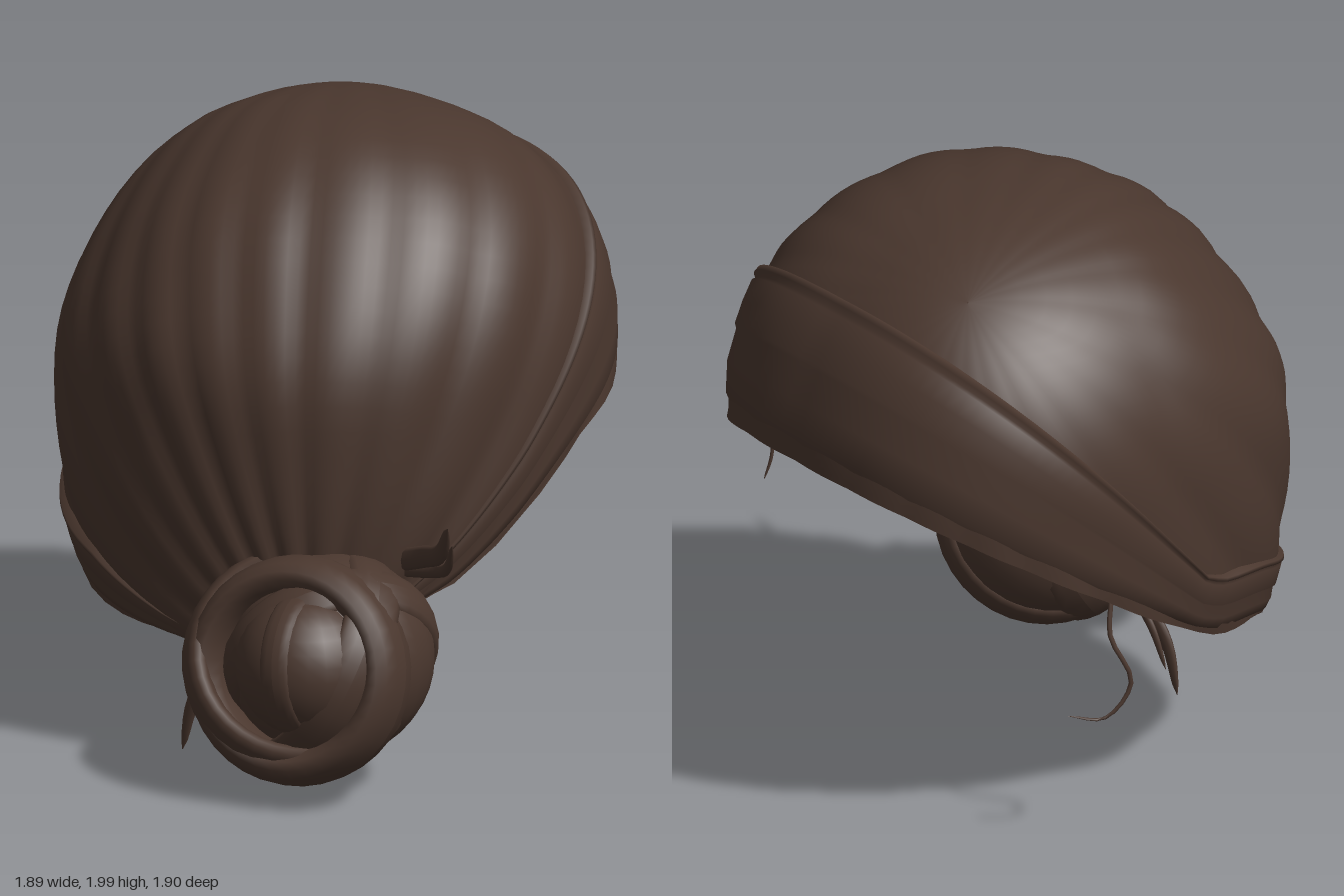
import * as THREE from 'three';

const V = (x, y, z) => new THREE.Vector3(x, y, z);
const { smoothstep, clamp } = THREE.MathUtils;
const CENTER = V(-0.09, 1.15, -0.08);

// Skull-like superellipsoid: surface point along unit direction d, pushed out by factor s.
// The upper front is rounder, the right rear corner fuller and the left front corner slimmer.
function onHead(d, s = 1) {
  const p = 2.3 - 0.35 * smoothstep(d.y * Math.max(0, d.z), 0, 0.45);
  const rx = d.x > 0 ? 0.815 : 0.83, ry = d.y > 0 ? 0.845 : 1.3, rz = d.z > 0 ? 0.85 : 0.865;
  const k = (Math.abs(d.x) / rx) ** p + (Math.abs(d.y) / ry) ** p + (Math.abs(d.z) / rz) ** p;
  const skew = 1 - 0.09 * Math.sign(d.x) * Math.max(0, d.x * d.z);
  return d.clone().multiplyScalar(s * skew * k ** (-1 / p)).add(CENTER);
}

// Hairline (flatter towards the bun, a little higher on the left rear and right front)
function rimY(q) {
  const left = 0.08 * smoothstep(q.x, 0.1, 0.6) * Math.exp(-(((q.z + 0.3) / 0.35) ** 2));
  const right = 0.08 * Math.max(0, -q.x) * smoothstep(q.z, 0, 0.4);
  return 0.69 - 0.61 * q.z + 0.22 * Math.max(0, q.z - 0.15) + left + right;
}

// Ridge above the hairline, carried round the right front to the bun
const ridgeY = q => Math.max(0.945 - 1.11 * q.z, rimY(q) + 0.4 * clamp(0.15 - q.x, 0, 0.55));

// Directions around a pole
function polar(pole) {
  const k = pole.clone().normalize();
  const e1 = V(1, 0, 0).cross(k).normalize();
  const e2 = k.clone().cross(e1);
  return (theta, phi) => k.clone().multiplyScalar(Math.cos(theta))
    .addScaledVector(e1, Math.sin(theta) * Math.cos(phi))
    .addScaledVector(e2, Math.sin(theta) * Math.sin(phi));
}

// Polar angle at which a meridian drops through a cut
function cutAngle(dir, phi, cut) {
  let lo = 0.2, hi = Math.PI;
  for (let i = 0; i < 30; i++) {
    const mid = (lo + hi) / 2, q = onHead(dir(mid, phi));
    if (q.y > cut(q)) lo = mid; else hi = mid;
  }
  return lo;
}

// Skin closed loops of points into a surface
function skin(loops) {
  const n = loops[0].length, index = [];
  for (let i = 0; i < loops.length - 1; i++) {
    for (let j = 0; j < n; j++) {
      const k = (j + 1) % n, a = i * n, b = a + n;
      index.push(a + j, b + j, a + k, a + k, b + j, b + k);
    }
  }
  const g = new THREE.BufferGeometry().setFromPoints(loops.flat());
  g.setIndex(index);
  g.computeVertexNormals();
  return g;
}

// Swept-back hair: pleats fan from the crown and gather at the bun
function capGeometry() {
  const dir = polar(V(-0.42, 0.75, -0.51)), N = 144, M = 32, loops = [];
  const ends = Array.from({ length: N }, (_, j) => cutAngle(dir, j / N * Math.PI * 2, rimY));
  for (let i = 0; i <= M; i++) {
    loops.push(ends.map((end, j) => {
      const phi = j / N * Math.PI * 2, theta = Math.max(0.002, end * i / M);
      const pleat = Math.abs(Math.sin(phi * 11 + 0.8 * Math.sin(phi * 3)));
      const fade = Math.min(1, theta / 1.5) ** 2;
      return onHead(dir(theta, phi), 1 + 0.018 * (pleat - 0.5) * fade);
    }));
  }
  return skin(loops);
}

// Raised folded band along the hairline, narrowing to nothing at the bun
function bandGeometry() {
  const dir = polar(V(0, 0.854, 0.52)), N = 120;
  const folds = [[0, -0.01], [0.01, 0.026], [0.06, 0.03], [0.1, 0.01], [0.13, 0.024], [0.3, 0.022],
    [0.47, 0.02], [0.5, 0.01], [0.7, 0.016], [0.88, 0.008], [1, -0.03]];
  return skin(folds.map(([t, lift]) => Array.from({ length: N }, (_, j) => {
    const phi = j / N * Math.PI * 2;
    const cut = q => rimY(q) + (ridgeY(q) - rimY(q)) * (1 - t);
    const d = dir(cutAngle(dir, phi, cut), phi), q = onHead(d);
    const fade = clamp((ridgeY(q) - rimY(q)) / 0.25, 0, 1);
    return onHead(d, 1 + lift * fade);
  })));
}

// Coil of hair: ring with an oval section, a = radial and b = along the axis
function coilGeometry(R, a, b) {
  const pts = [];
  for (let i = 0; i <= 14; i++) {
    const t = i / 14 * Math.PI * 2;
    pts.push(new THREE.Vector2(R + a * Math.cos(t), b * Math.sin(t)));
  }
  return new THREE.LatheGeometry(pts, 36);
}

// Tapered lock along a curve, flattened in depth
function lockGeometry(points, width, depth) {
  const curve = new THREE.CatmullRomCurve3(points), M = 16, S = 8, loops = [];
  for (let i = 0; i <= M; i++) {
    const t = i / M, p = curve.getPoint(t), tan = curve.getTangent(t);
    const side = tan.clone().cross(V(0, 0, 1)).normalize(), up = side.clone().cross(tan);
    const r = Math.max(0.03, Math.sqrt(1 - t) * (0.7 + 0.5 * t));
    loops.push(Array.from({ length: S }, (_, j) => {
      const a = -j / S * Math.PI * 2;
      return p.clone().addScaledVector(side, Math.cos(a) * width * r)
        .addScaledVector(up, Math.sin(a) * depth * r);
    }));
  }
  return skin(loops);
}

export function createModel() {
  const model = new THREE.Group();
  const hair = new THREE.MeshStandardMaterial({ color: 0x4a372e, side: THREE.DoubleSide });
  hair.name = 'dark brown hair';
  const add = (name, geometry, parent = model) => {
    const mesh = new THREE.Mesh(geometry, hair);
    mesh.name = name;
    parent.add(mesh);
    return mesh;
  };

  add('sweptHair', capGeometry());
  add('hairlineBand', bandGeometry());

  // Bun: body, inner knot and coils wound around them
  const bun = new THREE.Group();
  bun.name = 'bun';
  model.add(bun);
  add('bunBody', new THREE.SphereGeometry(0.33, 28, 20), bun).position.set(0.47, 0.43, 0.51);
  const knot = add('bunKnot', new THREE.SphereGeometry(0.23, 24, 16), bun);
  knot.position.set(0.54, 0.45, 0.68);
  const coils = [
    ['frontCoil', V(0.5, 0.42, 0.68), V(0.36, 0.24, 0.9), 0.3, 0.065, 0.13],
    ['crossCoil', V(0.44, 0.42, 0.61), V(0.6, 0.55, 0.58), 0.33, 0.045, 0.11],
    ['sideCoil', V(0.48, 0.42, 0.54), V(-0.5, 0.45, 0.74), 0.32, 0.035, 0.09],
    ['backCoil', V(0.47, 0.43, 0.51), V(0.75, -0.55, 0.35), 0.315, 0.035, 0.08],
    ['knotStrap', V(0.54, 0.45, 0.68), V(0.95, 0.1, -0.28), 0.22, 0.018, 0.05],
  ];
  for (const [name, pos, axis, R, a, b] of coils) {
    const coil = add(name, coilGeometry(R, a, b), bun);
    coil.position.copy(pos);
    coil.quaternion.setFromUnitVectors(V(0, 1, 0), axis.normalize());
  }

  // Loose ends poking out of the bun
  const ends = [
    ['upperEnd', [V(0.52, 0.7, 0.3), V(0.7, 0.76, 0.33), V(0.85, 0.82, 0.4), V(0.94, 0.93, 0.46)], 0.05, 0.025],
    ['upperEndThin', [V(0.55, 0.68, 0.3), V(0.72, 0.71, 0.3), V(0.84, 0.76, 0.36), V(0.92, 0.86, 0.42)], 0.03, 0.02],
    ['lowerEnd', [V(0.2, 0.45, 0.5), V(0.03, 0.32, 0.53), V(-0.08, 0.18, 0.56), V(-0.125, 0.005, 0.57)], 0.045, 0.025],
    ['lowerEndThin', [V(0.2, 0.42, 0.46), V(0.02, 0.36, 0.48), V(-0.08, 0.25, 0.5), V(-0.13, 0.11, 0.52)], 0.025, 0.018],
  ];
  for (const [name, pts, w, d] of ends) add(name, lockGeometry(pts, w, d));

  // Fine wisps hanging from the hairline
  add('sideWisp', lockGeometry([V(-0.85, 0.87, -0.27), V(-0.87, 0.75, -0.29), V(-0.9, 0.58, -0.23),
    V(-0.87, 0.47, -0.31), V(-0.82, 0.49, -0.42)], 0.01, 0.012));
  add('browWisp', lockGeometry([V(0.1, 1.26, -0.87), V(0.1, 1.18, -0.88), V(0.11, 1.11, -0.9)], 0.008, 0.008));
  return model;
}
